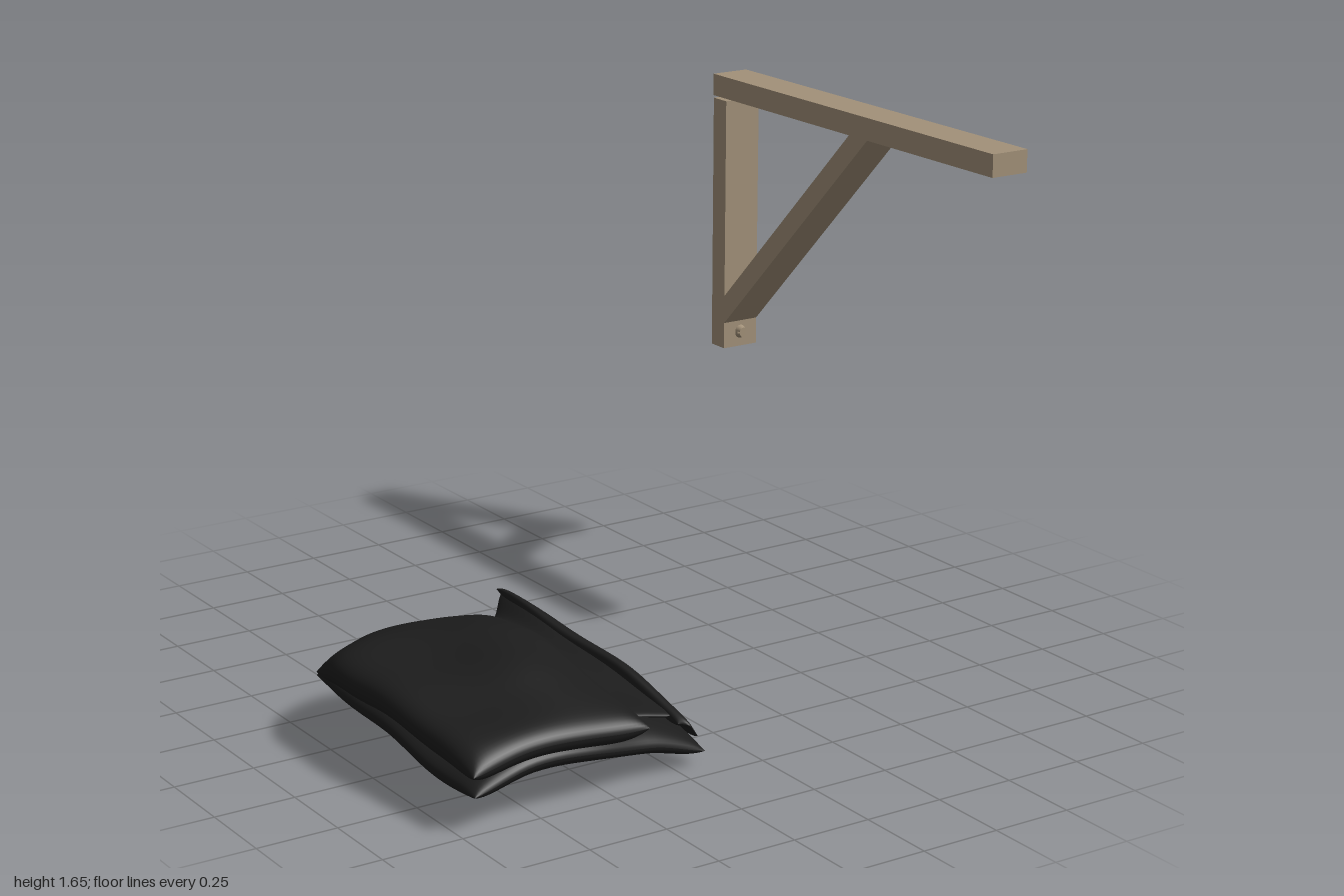
import * as THREE from 'three';

const wood = new THREE.MeshStandardMaterial({ color: 0xa29179 });
wood.name = 'tan wood';
const cloth = new THREE.MeshStandardMaterial({ color: 0x1c1c1c, side: THREE.DoubleSide });
cloth.name = 'black cloth';

function add(parent, name, geometry, material, x = 0, y = 0, z = 0) {
  const mesh = new THREE.Mesh(geometry, material);
  mesh.name = name;
  mesh.position.set(x, y, z);
  parent.add(mesh);
  return mesh;
}

const lerp = THREE.MathUtils.lerp;

// Smooth curve through evenly spaced values
function smooth(values, t) {
  const last = values.length - 1;
  const i = Math.min(Math.floor(t * last), last - 1);
  const f = t * last - i;
  const at = k => values[Math.max(0, Math.min(last, k))];
  const [a, b, c, d] = [at(i - 1), at(i), at(i + 1), at(i + 2)];
  return b + 0.5 * f * (c - a + f * (2 * a - 5 * b + 4 * c - d + f * (3 * (b - c) + d - a)));
}

// Padded sheet of cloth: outline edges, a grid of mid heights (rows run back to front,
// columns left to right) and a half thickness that rounds off towards every edge
function sheet({ left, right, back, front, heights, half, wrinkle = 0.005 }) {
  const n = 36, m = 48, ring = 2 * n;
  const positions = [], index = [];
  const spread = k => 0.5 - 0.5 * Math.cos(Math.PI * k);
  const round = s => Math.sqrt(Math.max(0, 1 - Math.pow(Math.abs(2 * s - 1), 8)));
  for (let j = 0; j <= m; j++) {
    const t = spread(j / m);
    for (let i = 0; i < ring; i++) {
      const top = i <= n;
      const s = spread((top ? i : ring - i) / n);
      const x = lerp(smooth(left, t), smooth(right, t), s);
      const z = lerp(smooth(back, s), smooth(front, s), t);
      const mid = smooth(heights.map(row => smooth(row, s)), t);
      const fold = wrinkle * (Math.sin(13 * x + 7 * z) + 0.7 * Math.sin(17 * z - 9 * x));
      const pad = half * round(s) * round(t);
      positions.push(x, mid + fold + (top ? pad : -pad), z);
      if (j < m) {
        const a = j * ring + i, b = j * ring + (i + 1) % ring;
        index.push(a, a + ring, b, b, a + ring, b + ring);
      }
    }
  }
  const geometry = new THREE.BufferGeometry();
  geometry.setAttribute('position', new THREE.Float32BufferAttribute(positions, 3));
  geometry.setIndex(index);
  geometry.computeVertexNormals();
  return geometry;
}

function createBracket() {
  const bracket = new THREE.Group();
  bracket.name = 'wallBracket';
  const x = 0.935, width = 0.128;
  add(bracket, 'topBeam', new THREE.BoxGeometry(width, 0.07, 1.42), wood, x, 1.665, -0.07);
  add(bracket, 'wallPost', new THREE.BoxGeometry(width, 0.825, 0.07), wood, x, 1.2095, -0.742);

  // Diagonal brace, mitred against the beam and the post (shape drawn as -z, y)
  const side = new THREE.Shape([[-0.04, 1.63], [0.707, 0.883], [0.707, 0.975], [0.052, 1.63]]
    .map(p => new THREE.Vector2(...p)));
  const brace = new THREE.ExtrudeGeometry(side, { depth: width, bevelEnabled: false });
  brace.rotateY(Math.PI / 2);
  add(bracket, 'diagonalBrace', brace, wood, x - width / 2, 0, 0);

  // Slotted screws: two half heads with a gap between
  const screw = (name, y, z, tilt) => {
    const group = new THREE.Group();
    group.name = name;
    for (const turn of [0, Math.PI]) {
      const head = new THREE.CylinderGeometry(0.013, 0.019, 0.018, 12, 1, false, turn, Math.PI);
      head.translate(turn ? -0.003 : 0.003, 0.009, 0);
      add(group, 'screwHead', head, wood).rotation.y = Math.PI / 2;
    }
    add(group, 'screwBase', new THREE.CylinderGeometry(0.017, 0.019, 0.008, 16), wood, 0, 0.004, 0);
    group.position.set(x, y, z);
    group.rotation.x = tilt;
    bracket.add(group);
  };
  screw('beamScrew', 1.63, 0.53, Math.PI);
  screw('postScrew', 0.846, -0.707, Math.PI / 2);
  return bracket;
}

function createGarment() {
  const garment = new THREE.Group();
  garment.name = 'foldedGarment';

  // Lower layer sags at its two right-hand corners
  add(garment, 'lowerLayer', sheet({
    left: [-0.95, -0.975, -0.975, -0.975, -0.97, -0.96],
    right: [-0.18, -0.175, -0.19, -0.18, -0.165, -0.16],
    back: [-0.17, -0.215, -0.25, -0.31, -0.335],
    front: [0.75, 0.75, 0.74, 0.705, 0.69],
    heights: [
      [0.22, 0.22, 0.20, 0.13, 0.045],
      [0.22, 0.23, 0.22, 0.20, 0.17],
      [0.21, 0.23, 0.22, 0.21, 0.185],
      [0.19, 0.22, 0.22, 0.21, 0.18],
      [0.17, 0.21, 0.21, 0.19, 0.14],
      [0.16, 0.20, 0.20, 0.15, 0.09],
    ],
    half: 0.05,
  }), cloth);

  // Upper layer folded over the left part
  add(garment, 'upperLayer', sheet({
    left: [-0.95, -0.995, -1, -0.995, -0.98, -0.975],
    right: [-0.375, -0.385, -0.395, -0.40, -0.405, -0.405],
    back: [-0.17, -0.205, -0.19, -0.175],
    front: [0.77, 0.76, 0.765, 0.775],
    heights: [
      [0.23, 0.26, 0.27, 0.25],
      [0.28, 0.29, 0.31, 0.285],
      [0.285, 0.295, 0.33, 0.30],
      [0.28, 0.295, 0.325, 0.29],
      [0.26, 0.27, 0.28, 0.26],
      [0.23, 0.25, 0.26, 0.25],
    ],
    half: 0.06,
  }), cloth);

  // Turned-up hem along the right edge, rising towards the back
  add(garment, 'turnedHem', sheet({
    left: [-0.285, -0.27, -0.24, -0.22],
    right: [-0.185, -0.18, -0.17, -0.165],
    back: [-0.25, -0.25, -0.2],
    front: [0.64, 0.66, 0.66],
    heights: [
      [0.325, 0.285, 0.22],
      [0.28, 0.265, 0.2],
      [0.245, 0.235, 0.185],
      [0.17, 0.165, 0.13],
    ],
    half: 0.022, wrinkle: 0.002,
  }), cloth);

  // Flap running from the fold to the hem's raised corner
  add(garment, 'cornerFlap', sheet({
    left: [-0.38, -0.39, -0.4],
    right: [-0.265, -0.235, -0.21],
    back: [-0.16, -0.2, -0.25],
    front: [0.6, 0.6, 0.6],
    heights: [[0.26, 0.255, 0.31], [0.26, 0.245, 0.255], [0.22, 0.2, 0.18]],
    half: 0.018, wrinkle: 0.003,
  }), cloth);
  return garment;
}

export function createModel() {
  const model = new THREE.Group();
  model.name = 'bracketAndFoldedGarment';
  model.add(createBracket(), createGarment());
  return model;
}
